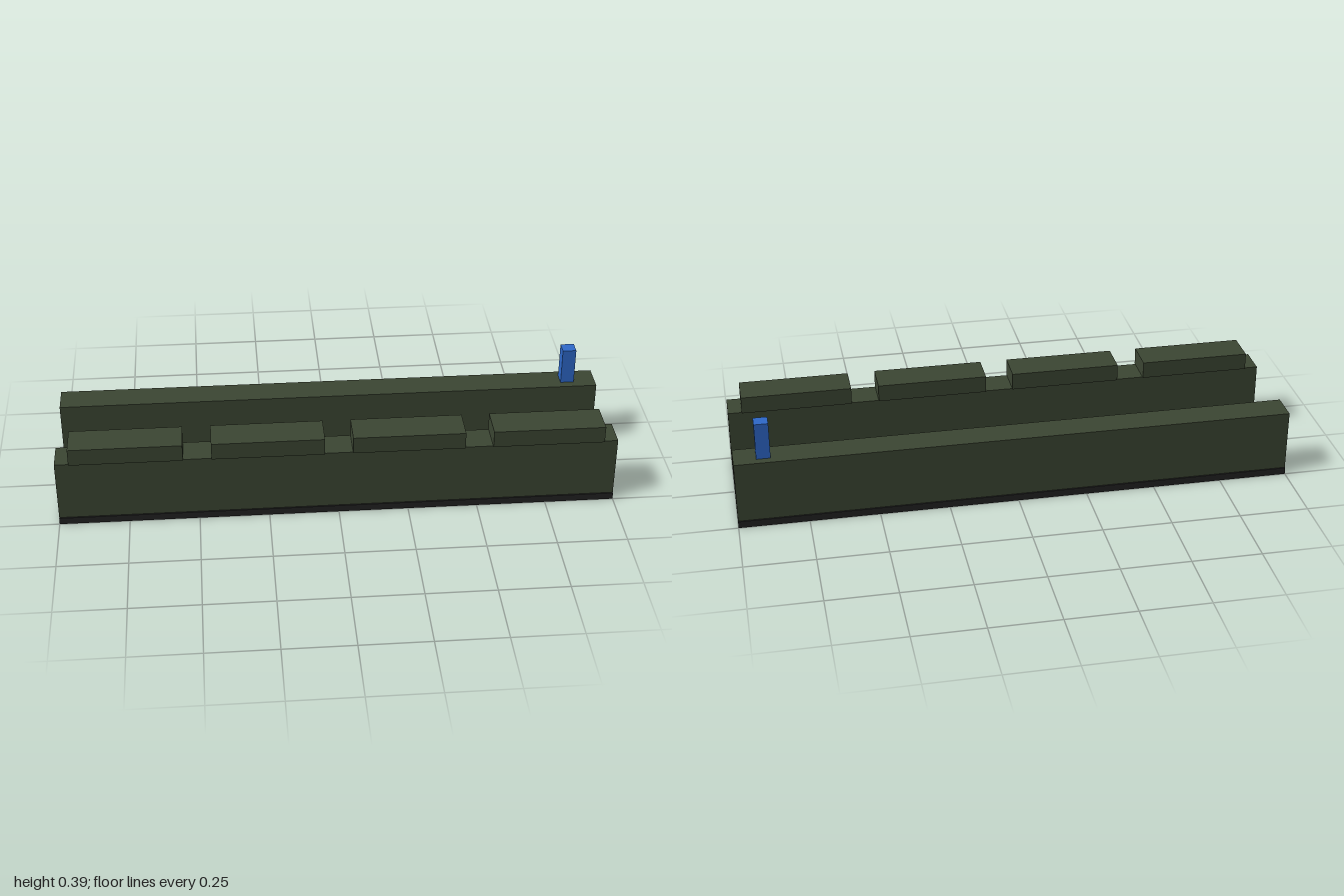
import * as THREE from 'three';

const olive = new THREE.MeshStandardMaterial({ name: 'olive', color: 0x3c4633 });
const charcoal = new THREE.MeshStandardMaterial({ name: 'charcoal', color: 0x222222 });
const blue = new THREE.MeshStandardMaterial({ name: 'blue', color: 0x2e69cb });

// Box given by its centre in x and z, its bottom and its top
function block(name, material, width, depth, bottom, top, x, z) {
  const mesh = new THREE.Mesh(new THREE.BoxGeometry(width, top - bottom, depth), material);
  mesh.name = name;
  mesh.position.set(x, (bottom + top) / 2, z);
  return mesh;
}

export function createModel() {
  const model = new THREE.Group();
  model.name = 'trench';

  // Floor slab
  model.add(block('floor', charcoal, 2, 0.5, 0, 0.025, 0, 0));

  // Two long walls
  model.add(block('frontWall', olive, 2, 0.11, 0.025, 0.25, 0, 0.19));
  model.add(block('backWall', olive, 2, 0.11, 0.025, 0.25, 0, -0.19));

  // Row of parapet blocks overhanging the front wall
  for (let i = 0; i < 4; i++) {
    model.add(block('parapet' + (i + 1), olive, 0.4, 0.124, 0.25, 0.3125, -0.75 + i * 0.5, 0.19));
  }

  // Marker post on the back wall
  model.add(block('markerPost', blue, 0.05, 0.05, 0.25, 0.386, 0.895, -0.191));

  return model;
}
